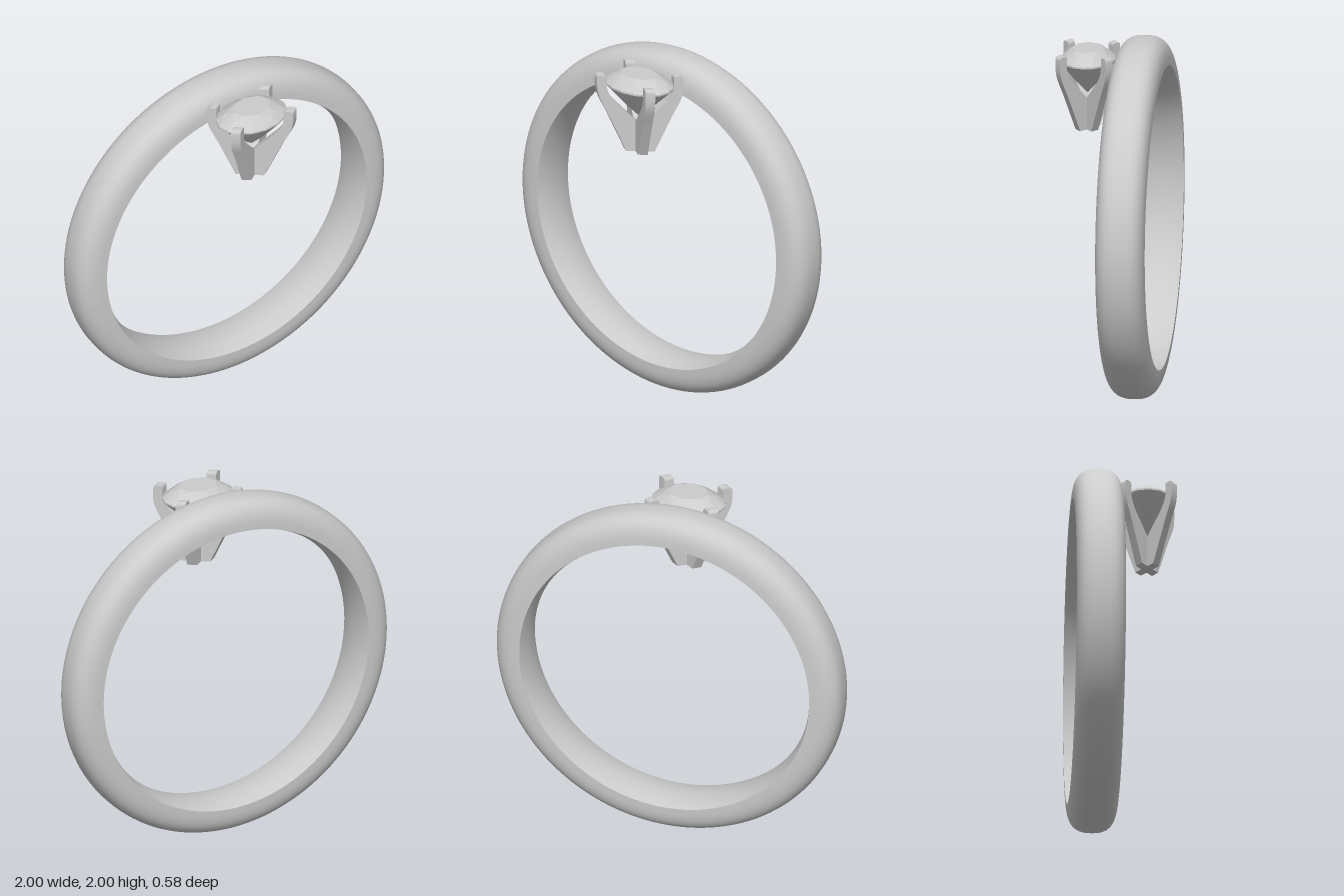
import * as THREE from 'three';
import { toCreasedNormals } from 'three/addons/utils/BufferGeometryUtils.js';
import { ConvexGeometry } from 'three/addons/geometries/ConvexGeometry.js';

const grey = () => new THREE.MeshStandardMaterial({ color: 0xcccccc });

// Points on a horizontal circle, used for the facet corners of the stone
function ring(count, radius, y, offset = 0) {
  return Array.from({ length: count }, (_, i) => {
    const a = ((i + offset) / count) * Math.PI * 2;
    return new THREE.Vector3(radius * Math.cos(a), y, radius * Math.sin(a));
  });
}

function createBand() {
  const band = new THREE.Group();
  band.name = 'band';
  const half = 0.135, steps = 24, outer = [], inner = [];
  for (let i = 0; i <= steps; i++) {
    // Domed outside
    const a = -Math.PI / 2 + (Math.PI * i) / steps;
    const c = Math.pow(Math.max(0, Math.cos(a)), 0.75);
    const s = Math.sign(Math.sin(a)) * Math.pow(Math.abs(Math.sin(a)), 0.75);
    outer.push(new THREE.Vector2(0.838 + 0.162 * c, half * s));
    // Gently rounded inside
    const t = 1 - (2 * i) / steps;
    inner.push(new THREE.Vector2(0.814 + 0.024 * t * t, half * t));
  }
  for (const [name, profile] of [['bandOutside', outer], ['bandInside', inner]]) {
    const mesh = new THREE.Mesh(new THREE.LatheGeometry(profile, 128), grey());
    mesh.name = name;
    band.add(mesh);
  }
  band.rotation.x = Math.PI / 2;
  band.position.set(0, 1, -0.155);
  return band;
}

function createStone() {
  const points = [
    ...ring(8, 0.085, 1.955),          // table
    ...ring(8, 0.121, 1.929, 0.5),     // crown
    ...ring(16, 0.155, 1.897),         // girdle
    ...ring(16, 0.155, 1.887),
    ...ring(8, 0.07, 1.776, 0.5),      // pavilion
    new THREE.Vector3(0, 1.7, 0),      // point
  ];
  const material = grey();
  material.flatShading = true;
  const stone = new THREE.Mesh(new ConvexGeometry(points), material);
  stone.name = 'stone';
  return stone;
}

function prongGeometry() {
  // Side outline: x is the distance from the setting's axis
  const s = new THREE.Shape();
  s.moveTo(0, 1.5);
  s.lineTo(0.066, 1.5);
  s.lineTo(0.142, 1.7);
  s.bezierCurveTo(0.175, 1.785, 0.2, 1.82, 0.2, 1.885);
  s.lineTo(0.2, 1.93);
  s.quadraticCurveTo(0.198, 1.946, 0.184, 1.946);
  s.lineTo(0.166, 1.946);
  s.quadraticCurveTo(0.155, 1.946, 0.155, 1.93);
  s.lineTo(0.155, 1.88);
  s.bezierCurveTo(0.152, 1.83, 0.115, 1.79, 0.085, 1.755);
  s.lineTo(0, 1.655);
  s.closePath();
  const depth = 0.045;
  const g = new THREE.ExtrudeGeometry(s, { depth, bevelEnabled: false, curveSegments: 8 });
  g.translate(0, 0, -depth / 2);
  return toCreasedNormals(g, 0.5);
}

function createSetting() {
  const setting = new THREE.Group();
  setting.name = 'setting';
  const geometry = prongGeometry();
  for (let i = 0; i < 4; i++) {
    const prong = new THREE.Mesh(geometry, grey());
    prong.name = 'prong';
    prong.rotation.y = Math.PI / 4 + (i * Math.PI) / 2;
    setting.add(prong);
  }
  setting.add(createStone());
  // Stretching sideways makes the round cut an oval
  setting.scale.x = 1.35;
  setting.position.z = 0.133;
  return setting;
}

export function createModel() {
  const model = new THREE.Group();
  model.name = 'ring';
  model.add(createBand(), createSetting());
  return model;
}
